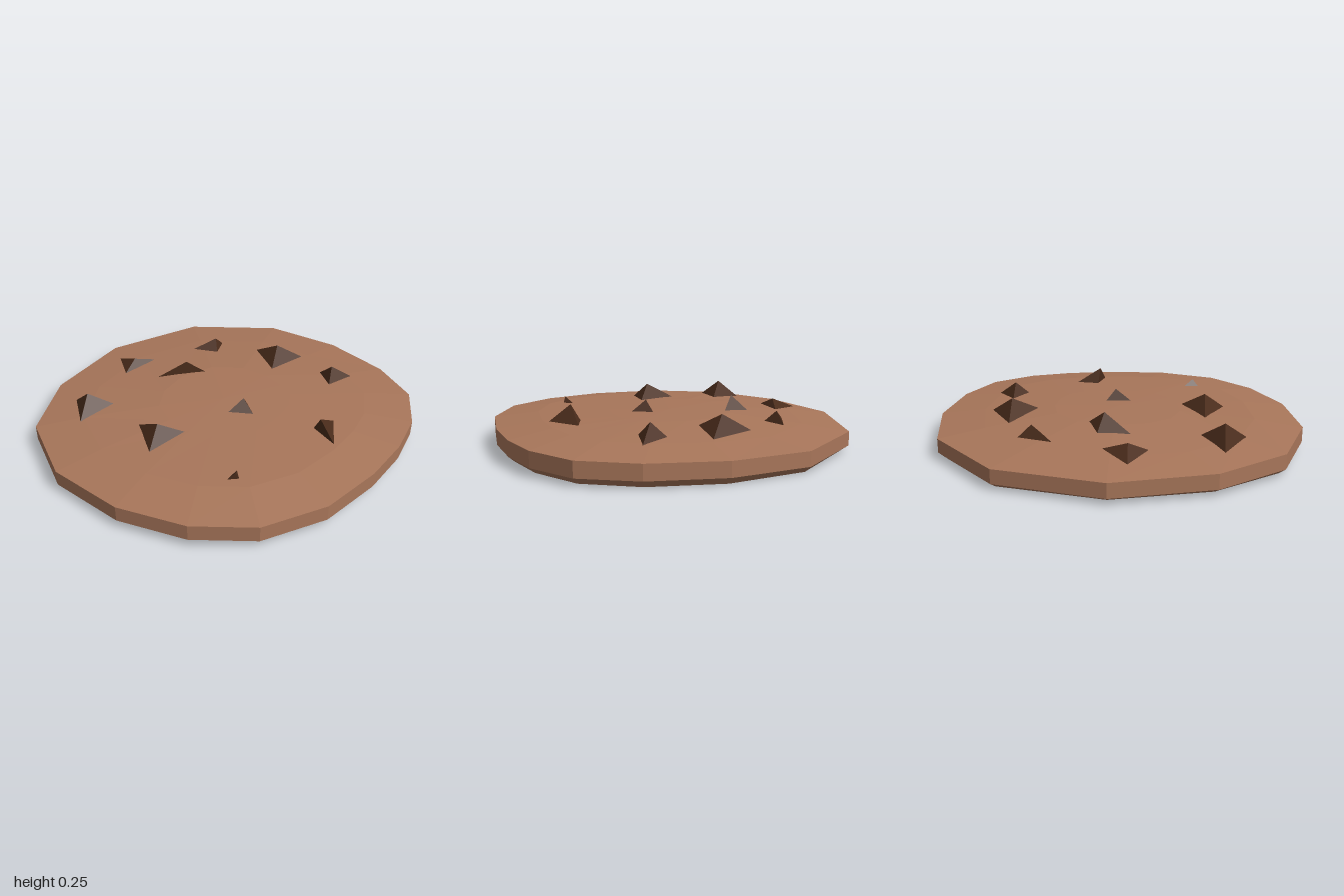
import * as THREE from 'three';
import { ConvexGeometry } from 'three/addons/geometries/ConvexGeometry.js';

// Uneven outline of the cookie, as [x, z]
const OUTLINE = [
  [0.02, -0.97], [0.57, -0.81], [0.92, -0.40], [1.0, -0.0 + 0.03],
  [0.95, 0.42], [0.82, 0.70], [0.59, 0.86], [0.35, 0.93],
  [0.07, 0.96], [-0.28, 0.94], [-0.61, 0.80], [-0.83, 0.55],
  [-0.97, 0.21], [-1.0, -0.21], [-0.84, -0.61], [-0.49, -0.86],
];

// Chips: three base corners [x, z], then the tip [x, y, z]
const CHIPS = [
  [[-0.54, -0.64], [-0.68, -0.43], [-0.43, -0.43], [-0.55, 0.24, -0.51]],
  [[-0.07, -0.81], [-0.17, -0.64], [0.055, -0.63], [-0.07, 0.19, -0.67]],
  [[0.31, -0.545], [0.49, -0.47], [0.38, -0.41], [0.42, 0.21, -0.46]],
  [[-0.09, -0.455], [0.09, -0.44], [0.15, -0.27], [0.055, 0.245, -0.35]],
  [[0.57, -0.25], [0.43, -0.01], [0.705, 0.005], [0.575, 0.24, -0.09]],
  [[-0.48, -0.19], [-0.62, 0.055], [-0.35, 0.07], [-0.49, 0.25, -0.01]],
  [[-0.09, 0.105], [0.07, 0.11], [0, 0.23], [0.01, 0.235, 0.14]],
  [[0.62, 0.2], [0.535, 0.335], [0.735, 0.365], [0.615, 0.23, 0.29]],
  [[-0.51, 0.47], [-0.385, 0.455], [-0.44, 0.53], [-0.46, 0.2, 0.51]],
  [[0.135, 0.525], [0.285, 0.565], [0.09, 0.715], [0.12, 0.25, 0.58]],
];

// Slightly warped heights of the base and the rim
const baseY = (x, z) => Math.max(0, 0.005 - 0.005 * x + 0.003 * z + 0.012 * z * z);
const lowY = (x, z) => 0.04 - 0.005 * x + 0.008 * z;
const rimY = (x, z) => 0.12 - 0.008 * x + 0.012 * z;

// Cross-sections from the underside to the crown: [scale, height rule]
const RINGS = [
  [0, () => 0.01],
  [0.965, baseY],
  [1, lowY],
  [1, rimY],
  [0.75, (x, z) => rimY(x, z) + 0.029],
  [0.35, () => 0.171],
  [0, () => 0.174],
];

function cookieGeometry() {
  const n = OUTLINE.length;
  const positions = [];
  const index = [];
  for (const [s, height] of RINGS) {
    for (const [x, z] of OUTLINE) positions.push(x * s, height(x, z), z * s);
  }
  for (let r = 0; r < RINGS.length - 1; r++) {
    for (let i = 0; i < n; i++) {
      const a = r * n + i;
      const b = r * n + ((i + 1) % n);
      // the centre rings collapse to a point, so they need one triangle only
      if (r > 0) index.push(b, a, a + n);
      if (r < RINGS.length - 2) index.push(b, a + n, b + n);
    }
  }
  const indexed = new THREE.BufferGeometry();
  indexed.setAttribute('position', new THREE.Float32BufferAttribute(positions, 3));
  indexed.setIndex(index);
  const flat = indexed.toNonIndexed();
  flat.computeVertexNormals();
  return flat;
}

function chipGeometry(corners, tip) {
  // base corners sit just inside the domed top
  const points = corners.map(([x, z]) =>
    new THREE.Vector3(x, 0.165 - 0.045 * (x * x + z * z), z));
  points.push(new THREE.Vector3(...tip));
  return new ConvexGeometry(points);
}

export function createModel() {
  const model = new THREE.Group();
  model.name = 'cookie';
  const dough = new THREE.MeshStandardMaterial({ color: 0xa8765a, flatShading: true });
  const chocolate = new THREE.MeshStandardMaterial({ color: 0x4a2c1b, flatShading: true });

  // Dough
  const body = new THREE.Mesh(cookieGeometry(), dough);
  body.name = 'dough';
  model.add(body);

  // Chocolate chips
  const chips = new THREE.Group();
  chips.name = 'chocolateChips';
  CHIPS.forEach(([a, b, c, tip], i) => {
    const chip = new THREE.Mesh(chipGeometry([a, b, c], tip), chocolate);
    chip.name = `chip${i + 1}`;
    chips.add(chip);
  });
  model.add(chips);
  return model;
}
